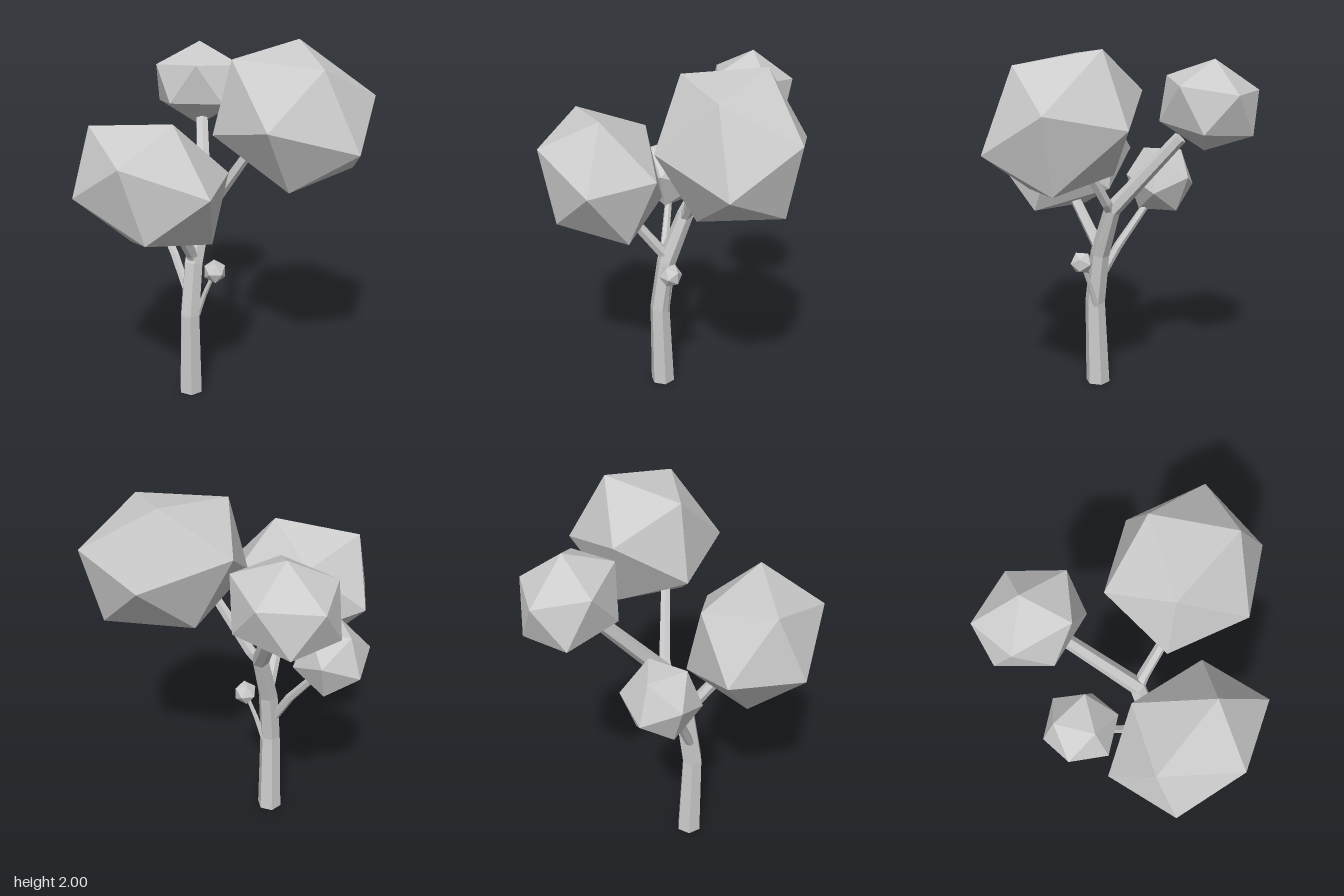
import * as THREE from 'three';

const material = new THREE.MeshStandardMaterial({ color: 0xcccccc, flatShading: true });
const vec = (p) => new THREE.Vector3(...p);

function addMesh(group, name, geometry) {
  geometry.computeVertexNormals();
  const mesh = new THREE.Mesh(geometry, material);
  mesh.name = name;
  group.add(mesh);
}

// Tapered six-sided limb following a bent path; each joint is [x, y, z, radius].
function limb(joints) {
  const n = joints.length - 1;
  const points = joints.map(([x, y, z]) => new THREE.Vector3(x, y, z));
  const up = new THREE.Vector3(0, 1, 0);
  const turns = points.map((p, i) => {
    const along = new THREE.Vector3();
    if (i > 0) along.add(p.clone().sub(points[i - 1]).normalize());
    if (i < n) along.add(points[i + 1].clone().sub(p).normalize());
    if (p.y === 0) along.copy(up); // flat on the ground
    return new THREE.Quaternion().setFromUnitVectors(up, along.normalize());
  });
  const geometry = new THREE.CylinderGeometry(1, 1, 1, 6, n, false, Math.PI / 6);
  const pos = geometry.attributes.position;
  const v = new THREE.Vector3();
  for (let i = 0; i < pos.count; i++) {
    v.fromBufferAttribute(pos, i);
    const k = Math.round((v.y + 0.5) * n);
    v.setY(0).multiplyScalar(joints[k][3]).applyQuaternion(turns[k]).add(points[k]);
    pos.setXYZ(i, v.x, v.y, v.z);
  }
  return geometry.toNonIndexed();
}

// Icosahedron stretched and turned so that one face has the corners a, b, c around its centre.
function leafClump(centre, a, b, c) {
  const geometry = new THREE.IcosahedronGeometry(1, 0);
  const pos = geometry.attributes.position;
  const corner = (i) => new THREE.Vector3().fromBufferAttribute(pos, i);
  const from = new THREE.Matrix4().makeBasis(corner(0), corner(1), corner(2));
  const to = new THREE.Matrix4().makeBasis(vec(a), vec(b), vec(c));
  geometry.applyMatrix4(to.multiply(from.invert()));
  geometry.translate(...centre);
  return geometry;
}

export function createModel() {
  const tree = new THREE.Group();
  tree.name = 'tree';

  // Trunk and branches
  const limbs = {
    trunk: [[-0.185, 0, 0.07, 0.07], [-0.175, 0.5, 0.085, 0.058], [-0.17, 0.8, 0.045, 0.055],
      [-0.155, 1.08, -0.06, 0.047], [-0.33, 1.5, -0.38, 0.036]],
    rightBranch: [[-0.165, 1.05, -0.05, 0.032], [-0.1, 1.13, -0.065, 0.032], [0.12, 1.45, -0.06, 0.026]],
    frontBranch: [[-0.168, 0.78, 0.03, 0.036], [-0.168, 0.86, 0.07, 0.034], [-0.17, 1.2, 0.33, 0.028]],
    leftBranch: [[-0.18, 0.6, 0.08, 0.025], [-0.3, 0.82, 0.025, 0.025], [-0.5, 1.1, -0.06, 0.02]],
    twig: [[-0.145, 0.49, 0.05, 0.016], [-0.1, 0.62, 0.053, 0.014], [-0.04, 0.76, 0.055, 0.011]],
  };
  for (const [name, joints] of Object.entries(limbs)) addMesh(tree, name, limb(joints));

  // Leaf clumps: centre, then three corners of one face
  const clumps = {
    largeLeaves: [[0.32, 1.64, -0.17], [-0.06, 0.36, -0.196], [-0.27, 0.3, 0.19], [0.21, 0.28, 0.14]],
    frontLeaves: [[-0.224, 1.343, 0.387], [0.15, 0.342, 0.03], [-0.306, 0.294, 0.077], [0.024, 0.18, 0.34]],
    backLeaves: [[-0.41, 1.675, -0.503], [-0.005, 0.24, -0.02], [0.265, 0.125, -0.007], [0.068, 0.08, -0.232]],
    leftLeaves: [[-0.54, 1.19, -0.077], [0, 0.165, 0.125], [0.108, 0.165, -0.062], [-0.108, 0.165, -0.062]],
    twigLeaves: [[-0.034, 0.775, 0.055], [0, 0, 0.066], [0.059, 0, 0.03], [0.018, 0.056, 0.03]],
  };
  for (const [name, shape] of Object.entries(clumps)) addMesh(tree, name, leafClump(...shape));

  return tree;
}
